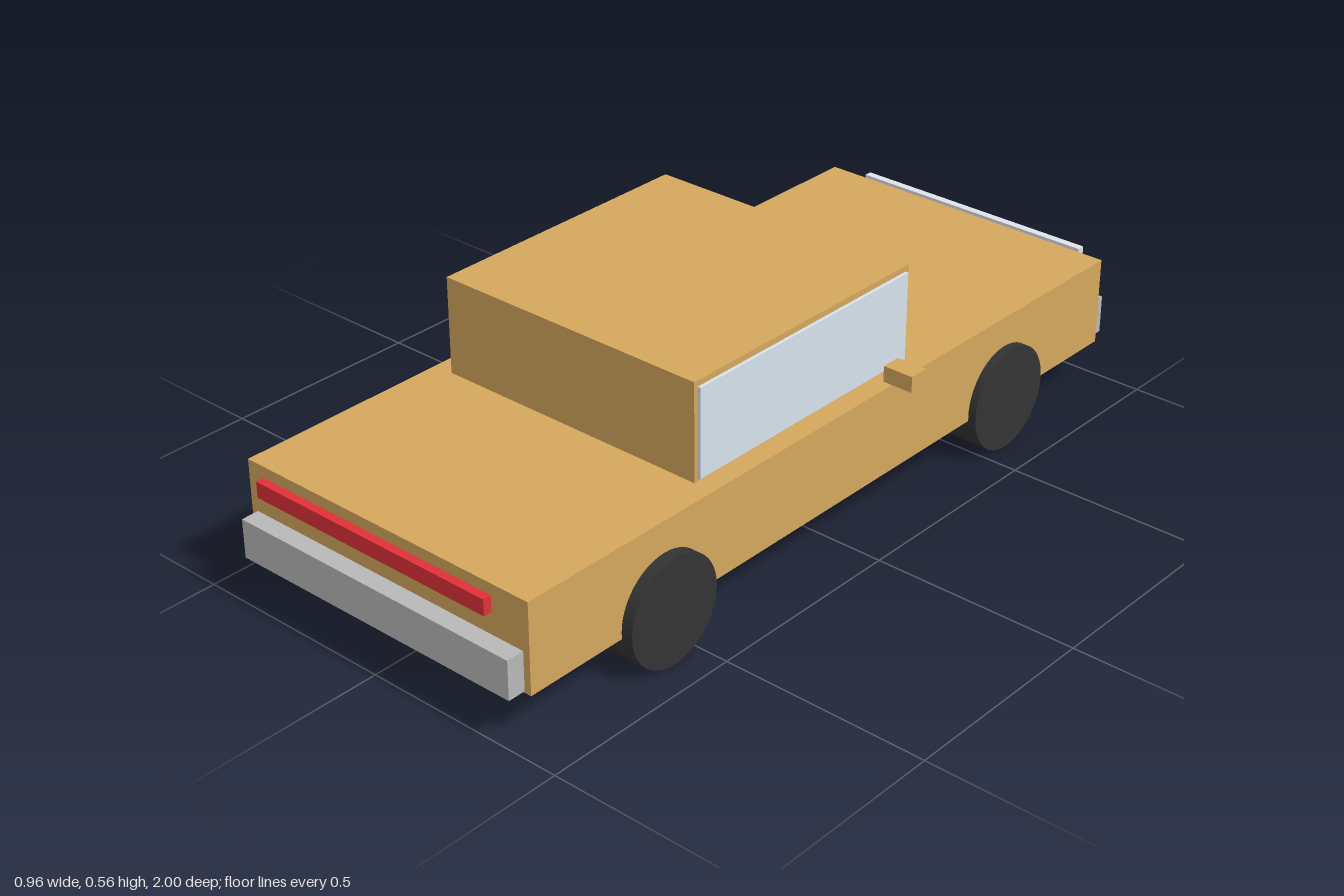
import * as THREE from 'three';

const material = (color) => new THREE.MeshStandardMaterial({ color });

export function createModel() {
  const car = new THREE.Group();
  car.name = 'car';

  const paint = material(0xd4a75c);
  const glass = material(0xd6e2ec);
  const rubber = material(0x333333);
  const metal = material(0xb8b8b8);
  const red = material(0xe03038);
  const lamp = material(0xdfe3ea);

  // Box given by its [min, max] extents on each axis
  function box(name, mat, [x0, x1], [y0, y1], [z0, z1]) {
    const mesh = new THREE.Mesh(new THREE.BoxGeometry(x1 - x0, y1 - y0, z1 - z0), mat);
    mesh.position.set((x0 + x1) / 2, (y0 + y1) / 2, (z0 + z1) / 2);
    mesh.name = name;
    car.add(mesh);
  }

  // Body and cabin
  box('body', paint, [-0.4, 0.4], [0.113, 0.328], [-0.957, 0.957]);
  box('cabin', paint, [-0.35, 0.35], [0.328, 0.56], [-0.267, 0.428]);

  // Bumpers, light bars and grille
  box('frontBumper', metal, [-0.383, 0.383], [0.117, 0.21], [0.957, 1]);
  box('rearBumper', metal, [-0.383, 0.383], [0.117, 0.21], [-1, -0.957]);
  box('redLightBar', red, [-0.325, 0.325], [0.285, 0.323], [0.98, 1]);
  box('whiteLightBar', lamp, [-0.32, 0.32], [0.287, 0.322], [-1, -0.981]);
  box('grille', metal, [-0.268, 0.268], [0.16, 0.243], [-1.001, -0.981]);

  for (const side of [1, -1]) {
    const label = side > 0 ? 'left' : 'right';
    const span = (a, b) => (side > 0 ? [a, b] : [-b, -a]);

    // Side window and mirror
    box(label + 'Window', glass, span(0.345, 0.358), [0.336, 0.546], [-0.256, 0.418]);
    box(label + 'Mirror', paint, span(0.404, 0.479), [0.353, 0.391], [-0.168, -0.12]);

    // Wheels
    for (const [end, z, inner, outer] of [['Front', 0.575, 0.314, 0.428], ['Rear', -0.575, 0.312, 0.42]]) {
      const wheel = new THREE.Mesh(new THREE.CylinderGeometry(0.127, 0.127, outer - inner, 48), rubber);
      wheel.rotation.z = Math.PI / 2;
      wheel.position.set(side * (inner + outer) / 2, 0.127, z);
      wheel.name = label + end + 'Wheel';
      car.add(wheel);
    }
  }

  return car;
}
